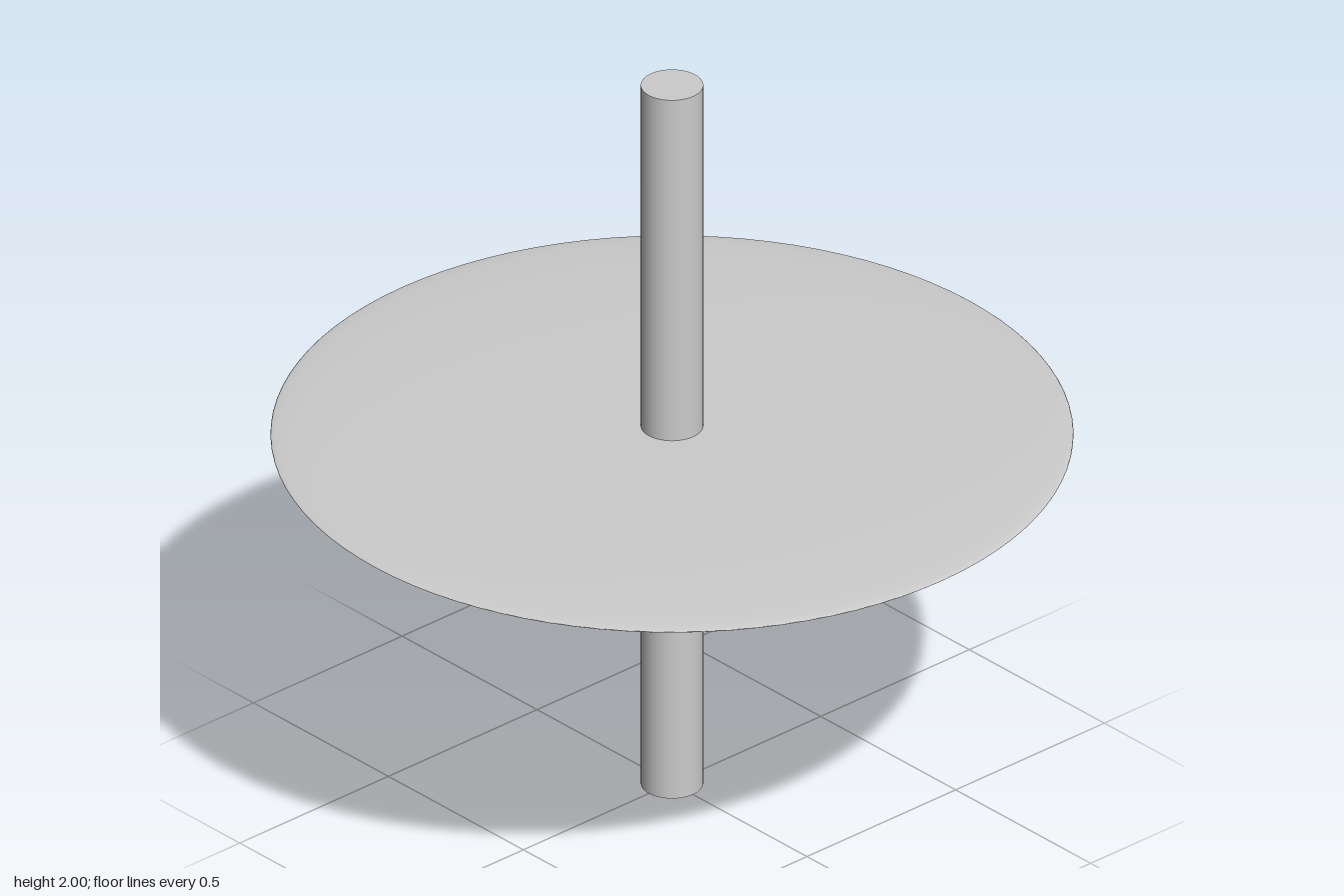
import * as THREE from 'three';

export function createModel() {
  const group = new THREE.Group();
  const material = new THREE.MeshStandardMaterial({ color: 0xcccccc });

  function addPart(name, geometry) {
    const mesh = new THREE.Mesh(geometry, material);
    mesh.name = name;
    mesh.position.y = 1;
    group.add(mesh);
  }

  // Upright rod running through the disc
  addPart('rod', new THREE.CylinderGeometry(0.078, 0.078, 2, 64));

  // Thin lens-shaped disc: a sphere flattened along y
  addPart('disc', new THREE.SphereGeometry(1, 96, 48).scale(1, 0.025, 1));

  return group;
}
